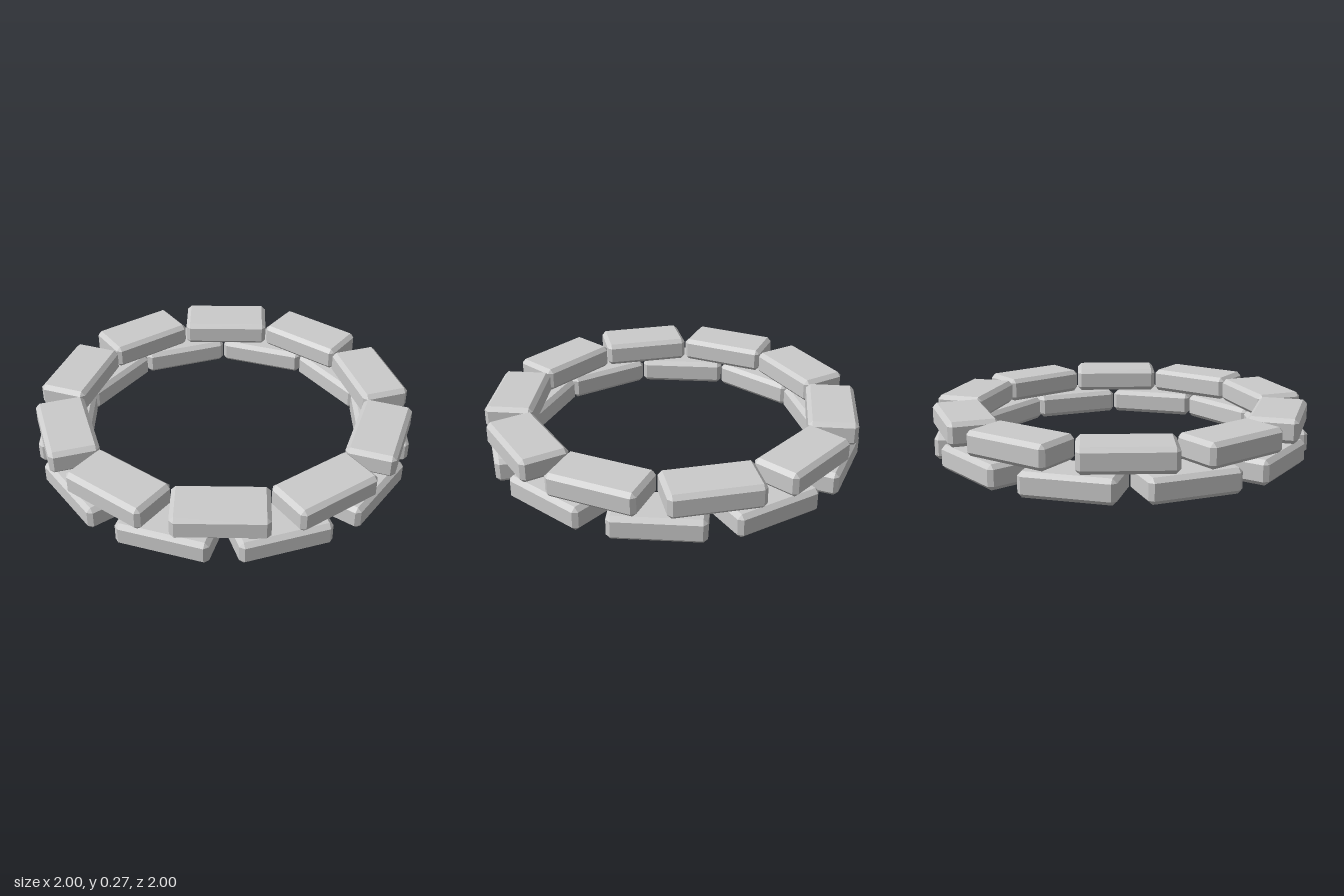
import * as THREE from 'three';
import { ConvexGeometry } from 'three/addons/geometries/ConvexGeometry.js';

const BRICKS = 10, RADIUS = 0.849;
const DEPTH = 0.26, HEIGHT = 0.128, LENGTH = 0.475, BEVEL = 0.022;

// Box with every edge and corner cut flat
function chamferedBox(w, h, d, c) {
  const points = [];
  for (const sx of [-1, 1]) for (const sy of [-1, 1]) for (const sz of [-1, 1]) {
    const x = w / 2, y = h / 2, z = d / 2;
    points.push(
      new THREE.Vector3(sx * x, sy * (y - c), sz * (z - c)),
      new THREE.Vector3(sx * (x - c), sy * y, sz * (z - c)),
      new THREE.Vector3(sx * (x - c), sy * (y - c), sz * z),
    );
  }
  return new ConvexGeometry(points);
}

export function createModel() {
  const model = new THREE.Group();
  model.name = 'brickRing';
  const material = new THREE.MeshStandardMaterial({ color: 0xcccccc, flatShading: true });
  const geometry = chamferedBox(DEPTH, HEIGHT, LENGTH, BEVEL);

  // One circle of bricks; start is the angle of the first brick from +x towards +z
  function addCourse(name, baseY, start) {
    const course = new THREE.Group();
    course.name = name;
    for (let i = 0; i < BRICKS; i++) {
      const a = THREE.MathUtils.degToRad(start + i * 360 / BRICKS);
      const brick = new THREE.Mesh(geometry, material);
      brick.name = 'brick';
      brick.position.set(RADIUS * Math.cos(a), baseY + HEIGHT / 2, RADIUS * Math.sin(a));
      brick.rotation.y = -a;
      course.add(brick);
    }
    model.add(course);
  }

  // Two courses, the upper one bridging the joints of the lower
  addCourse('lowerCourse', 0, 18.2);
  addCourse('upperCourse', 0.14, 1.3);
  return model;
}
